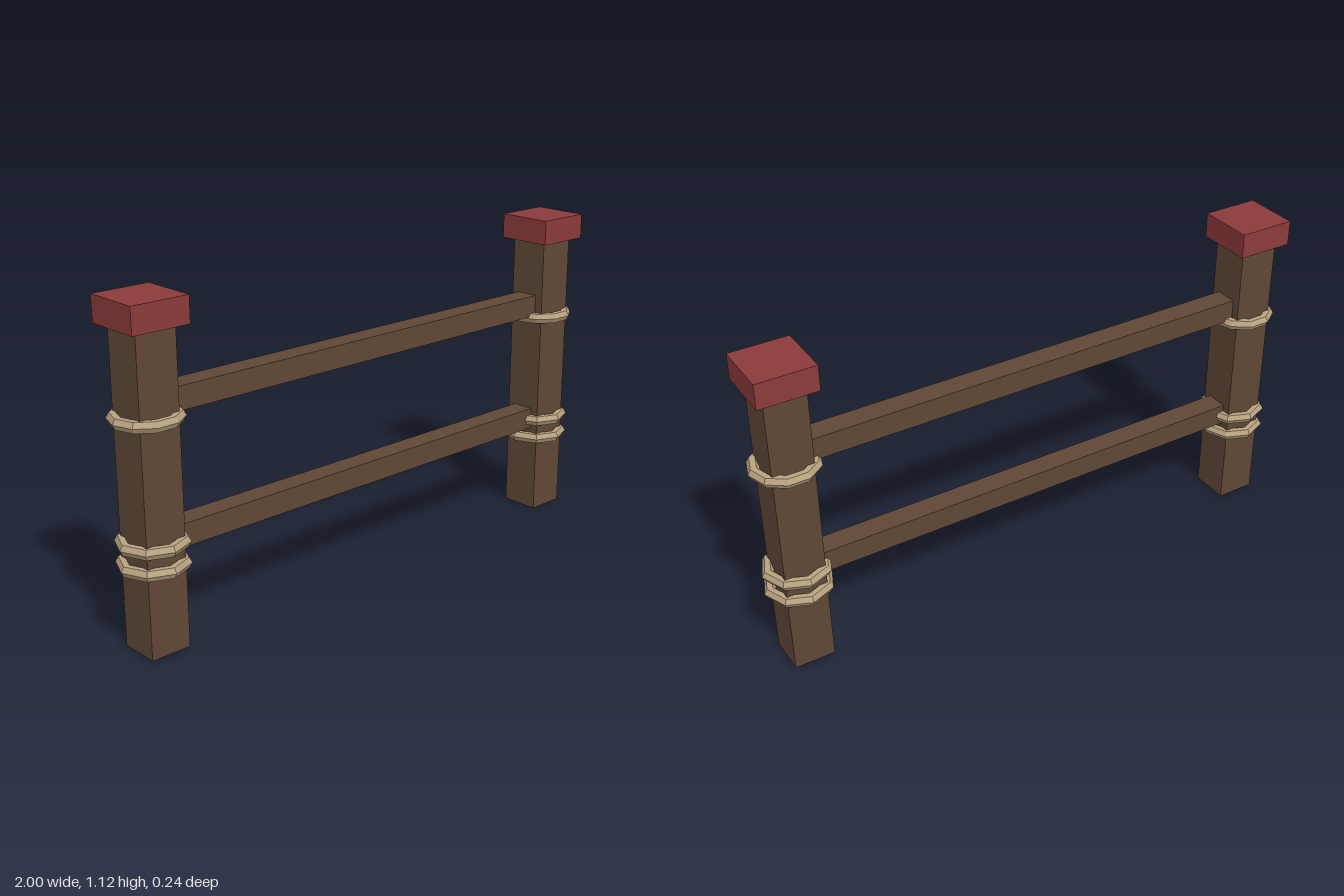
import * as THREE from 'three';

export function createModel() {
  const wood = new THREE.MeshStandardMaterial({ name: 'brownWood', color: 0x5f4736 });
  const red = new THREE.MeshStandardMaterial({ name: 'redPaint', color: 0x8b3a3a });
  const rope = new THREE.MeshStandardMaterial({ name: 'tanRope', color: 0xb8a280, flatShading: true });

  const model = new THREE.Group();
  model.name = 'fence';

  const add = (parent, name, geometry, material, x, y) => {
    const mesh = new THREE.Mesh(geometry, material);
    mesh.name = name;
    mesh.position.set(x, y, 0);
    parent.add(mesh);
    return mesh;
  };

  // Faceted rope ring lying flat, with a corner pointing along x
  const ring = (sides) => new THREE.TorusGeometry(0.098, 0.02, 6, sides).rotateX(Math.PI / 2);

  // Posts with caps and rope bindings
  for (const [side, label] of [[1, 'left'], [-1, 'right']]) {
    const post = new THREE.Group();
    post.name = label + 'Post';
    post.position.x = side * 0.88;
    model.add(post);
    add(post, 'postShaft', new THREE.BoxGeometry(0.14, 1.04, 0.14), wood, 0, 0.52);
    add(post, 'postCap', new THREE.BoxGeometry(0.2, 0.087, 0.2), red, 0, 1.0765);
    add(post, 'upperRope', ring(10), rope, 0, 0.752);
    add(post, 'middleRope', ring(8), rope, 0, 0.355);
    add(post, 'lowerRope', ring(8), rope, 0, 0.285);
  }

  // Horizontal rails between the posts
  add(model, 'upperRail', new THREE.BoxGeometry(1.64, 0.077, 0.08), wood, 0, 0.795);
  add(model, 'lowerRail', new THREE.BoxGeometry(1.64, 0.077, 0.08), wood, 0, 0.358);

  return model;
}
